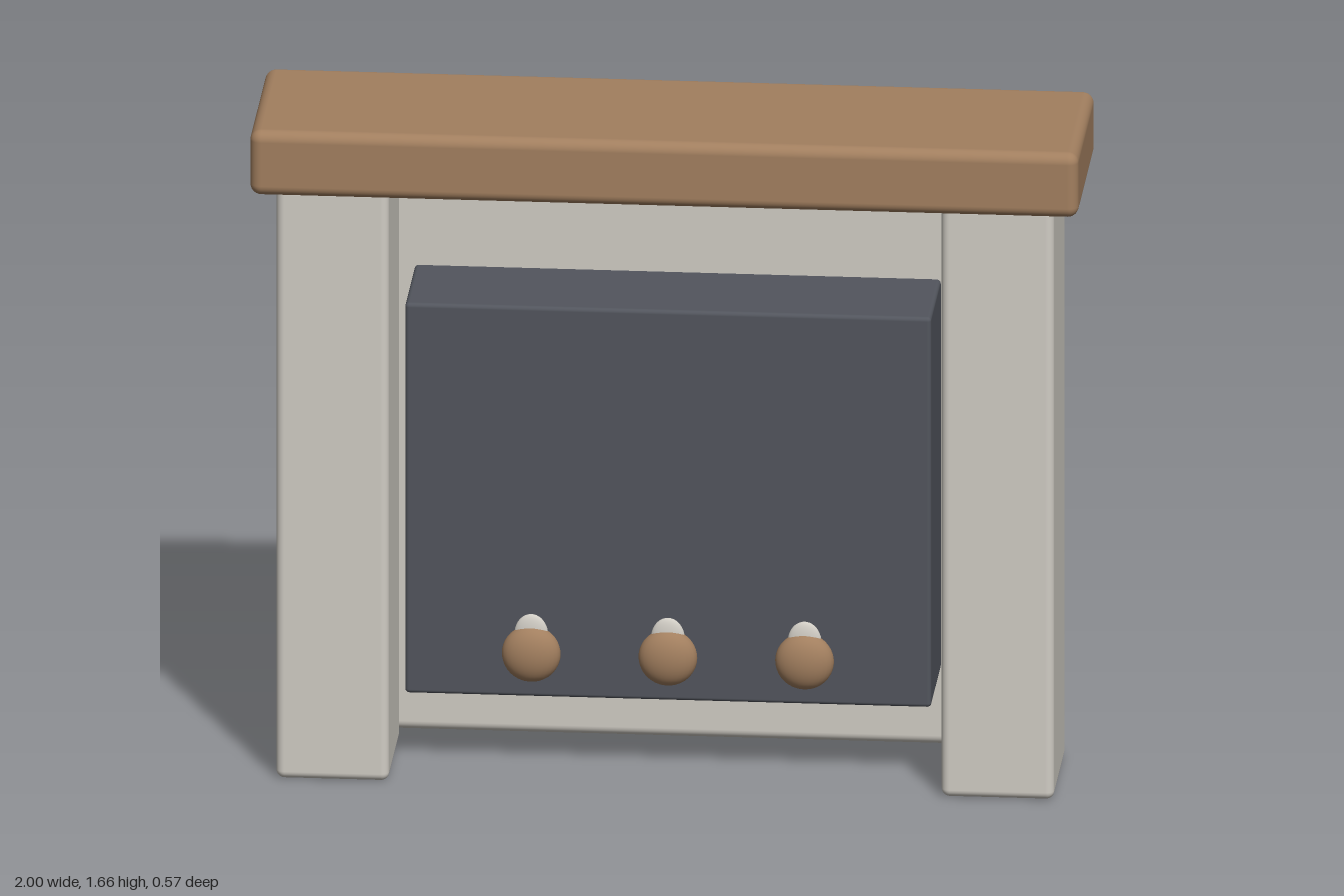
import * as THREE from 'three';
import { RoundedBoxGeometry } from 'three/addons/geometries/RoundedBoxGeometry.js';

const mat = (name, color) => {
  const m = new THREE.MeshStandardMaterial({ color });
  m.name = name;
  return m;
};

export function createModel() {
  const group = new THREE.Group();
  const stone = mat('stone', 0xd0ccc4);
  const wood = mat('wood', 0xa27f5f);
  const slate = mat('slate', 0x52555d);

  const add = (name, geometry, material, x, y, z) => {
    const mesh = new THREE.Mesh(geometry, material);
    mesh.name = name;
    mesh.position.set(x, y, z);
    group.add(mesh);
    return mesh;
  };
  // Rounded block given by its width and its y and z ranges
  const block = (name, material, x, w, y0, y1, z0, z1, r) =>
    add(name, new RoundedBoxGeometry(w, y1 - y0, z1 - z0, 4, r), material, x, (y0 + y1) / 2, (z0 + z1) / 2);

  block('backSlab', stone, 0, 1.79, 0, 1.52, -0.285, -0.12, 0.025);
  block('mantelShelf', wood, 0, 2, 1.495, 1.66, -0.195, 0.285, 0.027);
  block('firebox', slate, 0, 1.27, 0.195, 1.19, -0.13, 0.16, 0.01);

  // Side posts
  for (const s of [-1, 1]) {
    block(s > 0 ? 'leftPost' : 'rightPost', stone, s * 0.803, 0.272, 0, 1.51, -0.075, 0.255, 0.02);
  }

  // Flattened log ends, each with a small pale flame behind its top
  const ball = new THREE.SphereGeometry(1, 28, 20);
  for (const x of [-0.33, 0, 0.33]) {
    add('logEnd', ball, wood, x, 0.307, 0.163).scale.set(0.071, 0.071, 0.04);
    add('flame', ball, stone, x, 0.355, 0.162).scale.set(0.041, 0.052, 0.014);
  }
  return group;
}
